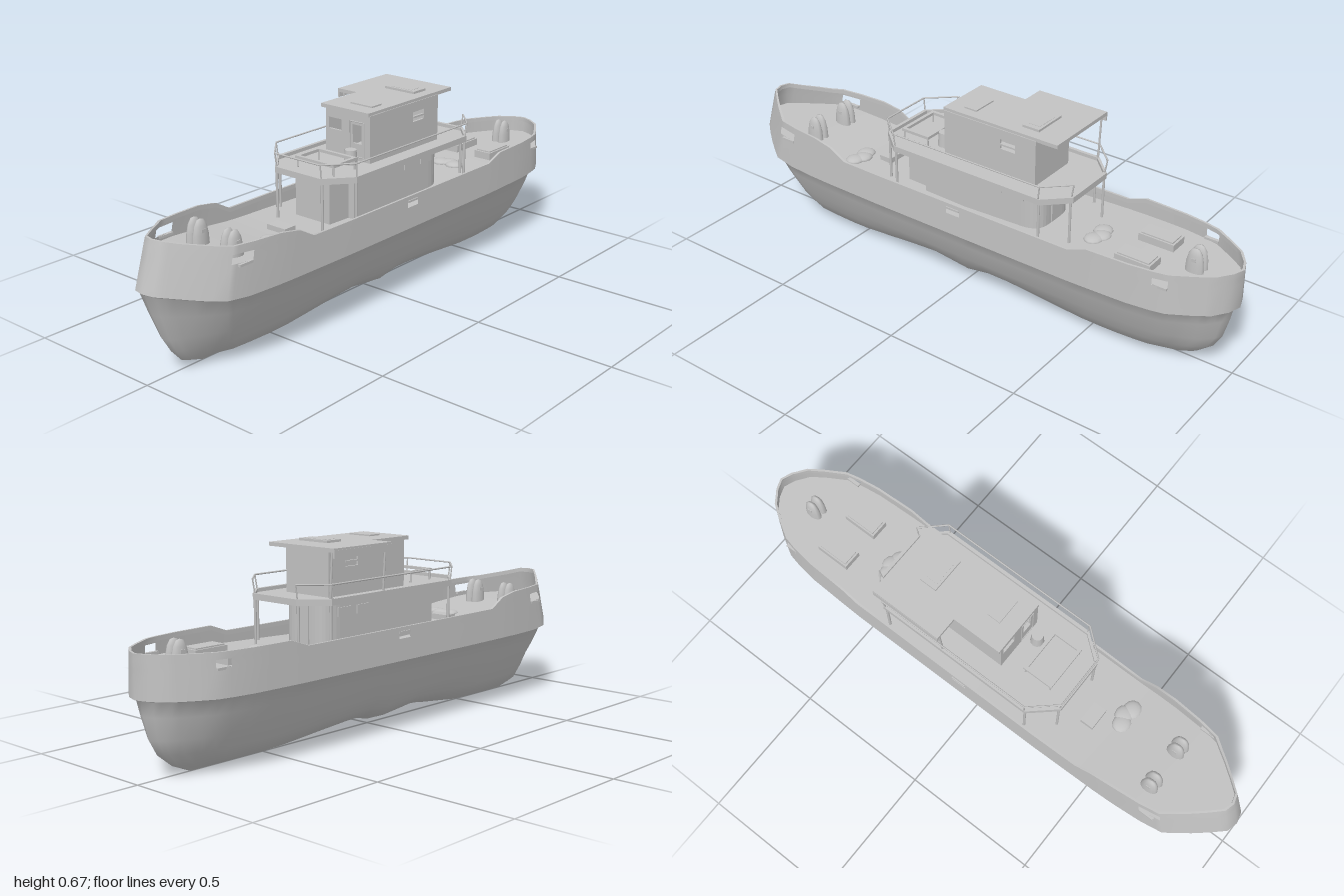
import * as THREE from 'three';

const grey = new THREE.MeshStandardMaterial({ color: 0xc2c2c2, side: THREE.DoubleSide });
grey.name = 'hull grey';

// Linear lookup in a short table of [z, value], z descending
function lookup(table, z) {
  if (z >= table[0][0]) return table[0][1];
  for (let i = 1; i < table.length; i++) {
    const [z0, a] = table[i - 1], [z1, b] = table[i];
    if (z >= z1) return a + (b - a) * (z0 - z) / (z0 - z1);
  }
  return table[table.length - 1][1];
}

const plan = [[1, 0], [0.99, 0.2], [0.95, 0.38], [0.9, 0.58], [0.82, 0.86], [0.7, 0.95], [0.55, 0.98], [0.3, 1],
  [-0.5, 1], [-0.7, 0.96], [-0.82, 0.88], [-0.9, 0.65], [-0.95, 0.48], [-0.985, 0.23], [-1, 0]];
const railTop = [[0.95, 0.455], [0.9, 0.442], [0.8, 0.424], [0.54, 0.416], [0.48, 0.37], [-0.48, 0.37], [-0.55, 0.395], [-1, 0.395]];
const knuckle = [[1, 0.297], [0.95, 0.287], [0.85, 0.265], [0.75, 0.256], [-1, 0.256]];
const keelRise = [[0.5, 0], [0.3, 0.022], [0.17, 0.04], [0, 0.015], [-0.1, 0.037], [-0.2, 0.032], [-0.5, 0]];
const deckSheer = [[1, 0.365], [0.7, 0.348], [0.45, 0.322], [0, 0.31], [-0.3, 0.322], [-0.6, 0.333], [-1, 0.337]];
const stations = [1, 0.99, 0.97, 0.95, 0.9, 0.86, 0.82, 0.8, 0.74, 0.63, 0.55, 0.485, 0.4, 0.3, 0.17, 0.08, 0, -0.055, -0.1,
  -0.2, -0.35, -0.48, -0.55, -0.63, -0.7, -0.78, -0.83, -0.87, -0.9, -0.93, -0.95, -0.97, -0.985, -1];

// Closed outline at one level: bow, down the left side, round the stern and back
function ring(w, bow, stern, yOf, power = 1) {
  const side = (f, s) => {
    const z = f > 0 ? f * bow : f * stern;
    return new THREE.Vector3(s * w * Math.pow(lookup(plan, f), power), yOf(z, f), z);
  };
  return [...stations.map(f => side(f, 1)), ...stations.slice(1, -1).reverse().map(f => side(f, -1))];
}

// Skin through a list of rings; skip(row, z) leaves an opening
function loft(rings, skip = () => false) {
  const n = rings[0].length, index = [];
  for (let i = 0; i < rings.length - 1; i++) for (let j = 0; j < n; j++) {
    const k = (j + 1) % n;
    if (skip(i, (rings[i][j].z + rings[i][k].z) / 2)) continue;
    const a = i * n + j, b = i * n + k, c = b + n, d = a + n;
    index.push(a, d, b, b, d, c);
  }
  const g = new THREE.BufferGeometry().setFromPoints(rings.flat());
  g.setIndex(index);
  g.computeVertexNormals();
  return g;
}

export function createModel() {
  const model = new THREE.Group();
  const add = (name, geo, x = 0, y = 0, z = 0, parent = model) => {
    const m = new THREE.Mesh(geo, grey);
    m.name = name;
    m.position.set(x, y, z);
    parent.add(m);
    return m;
  };
  const box = (name, w, h, d, x, y, z, parent) => add(name, new THREE.BoxGeometry(w, h, d), x, y, z, parent);
  const rod = (name, points, r = 0.003) => {
    for (let i = 1; i < points.length; i++) {
      const a = new THREE.Vector3(...points[i - 1]), b = new THREE.Vector3(...points[i]);
      add(name, new THREE.TubeGeometry(new THREE.LineCurve3(a, b), 1, r, 6));
    }
  };
  // Horizontal slab from an outline of [x, z]
  const polygon = pts => new THREE.Shape(pts.map(([x, z]) => new THREE.Vector2(x, -z)));
  const slab = (name, shape, y, h) => add(name,
    new THREE.ExtrudeGeometry(shape, { depth: h, bevelEnabled: false, curveSegments: 8 }).rotateX(-Math.PI / 2), 0, y, 0);

  // Lower hull, flaring out to the bulwark
  const base = z => lookup(knuckle, z);
  const rise = z => lookup(keelRise, z);
  add('lowerHull', loft([
    ring(0.2, 1, 1, base),
    ring(0.182, 0.988, 0.98, z => base(z) - 0.006),
    ring(0.166, 0.965, 0.972, z => 0.2 + (base(z) - 0.256) * 0.5, 1.1),
    ring(0.132, 0.93, 0.953, () => 0.125, 1.15),
    ring(0.106, 0.9, 0.925, z => 0.075 + rise(z) * 0.3, 1.2),
    ring(0.076, 0.86, 0.87, z => 0.03 + rise(z) * 0.75, 1.2),
    ring(0.001, 0.77, 0.8, rise)]));

  // Bulwark with freeing ports, and its cap rail
  const level = t => ring(0.2 - 0.004 * t, 1 - 0.045 * t, 1, (z, f) => base(f) + (lookup(railTop, z) - base(f)) * t, 1 + 0.08 * t);
  const ports = [[0.72, 0.78], [-0.055, 0], [-0.83, -0.78]];
  const isPort = (row, z) => row === 1 && ports.some(([a, b]) => z > a && z < b);
  add('bulwark', loft([level(1), level(0.84), level(0.66), level(0)], isPort));
  const lip = level(1).map(p => new THREE.Vector3(p.x * 0.96, p.y, p.z * 0.992));
  const lipFoot = lip.map(p => new THREE.Vector3(p.x, p.y - 0.015, p.z));
  add('capRail', loft([lip, level(1)]));
  add('capRailInside', loft([lipFoot, lip]));

  // Main deck
  const deckY = z => lookup(deckSheer, z);
  const edge = ring(0.196, 0.972, 0.995, deckY, 1.06), n = edge.length, deckIndex = [];
  for (let j = 0; j < stations.length - 1; j++) {
    const q = (n - j) % n, r = (n - j - 1) % n;
    deckIndex.push(j, j + 1, r, j, r, q);
  }
  const deck = new THREE.BufferGeometry().setFromPoints(edge);
  deck.setIndex(deckIndex);
  deck.computeVertexNormals();
  add('mainDeck', deck);

  // Port sills along the bulwark
  for (const s of [-1, 1]) {
    box('portSill', 0.012, 0.008, 0.055, s * 0.177, 0.362, 0.747);
    box('portSill', 0.012, 0.008, 0.05, s * 0.168, 0.345, -0.805);
    box('portSill', 0.008, 0.007, 0.055, s * 0.196, 0.353, -0.028);
  }

  // Lower cabin with rounded after corners
  const cabin = new THREE.Shape();
  cabin.moveTo(-0.1, -0.165).lineTo(0.1, -0.165).lineTo(0.1, 0.24).quadraticCurveTo(0.1, 0.31, 0.04, 0.31)
    .lineTo(-0.04, 0.31).quadraticCurveTo(-0.1, 0.31, -0.1, 0.24);
  slab('lowerCabin', cabin, 0.3, 0.18);
  box('cabinFront', 0.15, 0.18, 0.095, 0, 0.388, 0.212);
  box('cabinDoor', 0.055, 0.13, 0.008, 0, 0.392, -0.311);
  for (const s of [-1, 1]) for (const z of [-0.13, -0.22])
    box('cabinWindow', 0.008, 0.03, 0.06, s * 0.1, 0.435, z);

  // Boat deck: floor, rim and posts
  const corners = (k = 0) => [[0.1, 0.33 - k], [0.176 - k, 0.24], [0.176 - k, -0.36], [0.1, -0.44 + k],
    [-0.1, -0.44 + k], [-0.18 + k, -0.36], [-0.18 + k, 0.24], [-0.1, 0.33 - k]];
  slab('boatDeck', polygon(corners(0.004)), 0.477, 0.01);
  const rim = polygon(corners());
  rim.holes.push(polygon(corners(0.012)));
  slab('boatDeckRim', rim, 0.478, 0.021);
  for (const s of [-1, 1]) for (const [x, z] of [[0.1, 0.322], [0.17, 0.235], [0.17, -0.355], [0.1, -0.43]])
    rod('deckPost', [[s * x, deckY(z) - 0.005, z], [s * x, 0.48, z]], 0.005);

  // Railing round the boat deck, open at the stern
  const c = corners(), path = [3, 2, 1, 0, 7, 6, 5, 4].map(i => c[i]);
  rod('handRail', path.map(([x, z]) => [x, 0.545, z]));
  for (const [x, z] of path) rod('railPost', [[x * 0.98, 0.49, z * 0.98], [x, 0.545, z]], 0.0025);

  // Skylight and vent ahead of the wheelhouse
  const frame = polygon([[-0.07, 0.15], [0.1, 0.15], [0.1, 0.265], [-0.07, 0.265]]);
  frame.holes.push(polygon([[-0.058, 0.162], [0.088, 0.162], [0.088, 0.253], [-0.058, 0.253]]));
  slab('skylightFrame', frame, 0.518, 0.01);
  for (const x of [-0.064, 0.094]) for (const z of [0.156, 0.259]) rod('skylightLeg', [[x, 0.485, z], [x, 0.52, z]]);
  add('ventPipe', new THREE.CylinderGeometry(0.02, 0.024, 0.05, 12), 0.047, 0.512, 0.12);

  // Wheelhouse walls with window openings
  const wall = (name, w, windows) => {
    const s = new THREE.Shape([[-w / 2, 0], [w / 2, 0], [w / 2, 0.165], [-w / 2, 0.165]].map(p => new THREE.Vector2(...p)));
    for (const [x0, x1, y0, y1] of windows)
      s.holes.push(new THREE.Path([[x0, y0], [x0, y1], [x1, y1], [x1, y0]].map(p => new THREE.Vector2(...p))));
    return add(name, new THREE.ExtrudeGeometry(s, { depth: 0.008, bevelEnabled: false }), 0, 0.486, 0);
  };
  wall('wheelhouseFront', 0.196, [[-0.085, -0.028, 0.092, 0.132], [0.022, 0.06, 0.06, 0.125]]).position.z = 0.072;
  wall('wheelhouseBack', 0.196, []).position.z = -0.29;
  for (const s of [-1, 1]) {
    const m = wall('wheelhouseSide', 0.37, s > 0 ? [[0.045, 0.105, 0.095, 0.13]] : [[-0.105, -0.045, 0.095, 0.13]]);
    m.rotation.y = s * Math.PI / 2;
    m.position.set(s * 0.09, 0.486, -0.105);
    box('windowBar', 0.008, 0.006, 0.06, s * 0.095, 0.597, -0.18);
  }
  const doorFrame = [[0.01, 0.5], [0.072, 0.5], [0.072, 0.622], [0.01, 0.622], [0.01, 0.5]];
  rod('doorFrame', doorFrame.map(([x, y]) => [x, y, 0.081]), 0.002);

  // Roof, its hatches and supports
  slab('roof', polygon([[-0.2, -0.37], [0.095, -0.37], [0.095, 0.085], [-0.115, 0.085], [-0.115, -0.1], [-0.2, -0.1]]), 0.648, 0.013);
  box('roofEdge', 0.006, 0.025, 0.27, -0.198, 0.642, -0.235);
  box('roofHatch', 0.13, 0.01, 0.065, -0.01, 0.664, -0.24);
  box('roofHatchLid', 0.09, 0.004, 0.045, -0.01, 0.668, -0.24);
  box('smallRoofHatch', 0.095, 0.006, 0.05, 0.012, 0.663, 0);
  for (const z of [-0.36, -0.11]) rod('roofSupport', [[-0.172, 0.49, z], [-0.182, 0.65, z]], 0.004);

  // Twin mooring bitts
  const horn = [[0.03, 0], [0.028, 0.035], [0.022, 0.065], [0.012, 0.083], [0, 0.087]].map(p => new THREE.Vector2(...p));
  for (const [x, z] of [[-0.08, 0.7], [0.07, 0.7], [0, -0.84]]) {
    const g = new THREE.Group();
    g.name = 'mooringBitt';
    g.position.set(x, deckY(z) - 0.004, z);
    model.add(g);
    for (const s of [-1, 1]) add('bittHorn', new THREE.LatheGeometry(horn, 12).scale(0.6, 1, 1.1), s * 0.014, 0, 0, g);
    box('bittBar', 0.06, 0.012, 0.016, 0, 0.05, 0, g);
  }

  // Deck hatches and rope heaps
  for (const s of [-1, 1]) {
    box('sternHatch', 0.07, 0.035, 0.13, s * 0.075, 0.342, -0.67);
    box('sternHatchLid', 0.058, 0.006, 0.115, s * 0.075, 0.361, -0.67);
  }
  box('foredeckHatch', 0.08, 0.03, 0.05, -0.005, 0.325, 0.405);
  for (const [x, z] of [[0.005, -0.495], [0.065, 0.485]])
    for (let i = -1; i < 2; i++)
      add('ropeHeap', new THREE.SphereGeometry(0.036, 12, 8).scale(1, 0.4, 0.9), x + i * 0.03, deckY(z), z + i * i * 0.012);

  return model;
}
